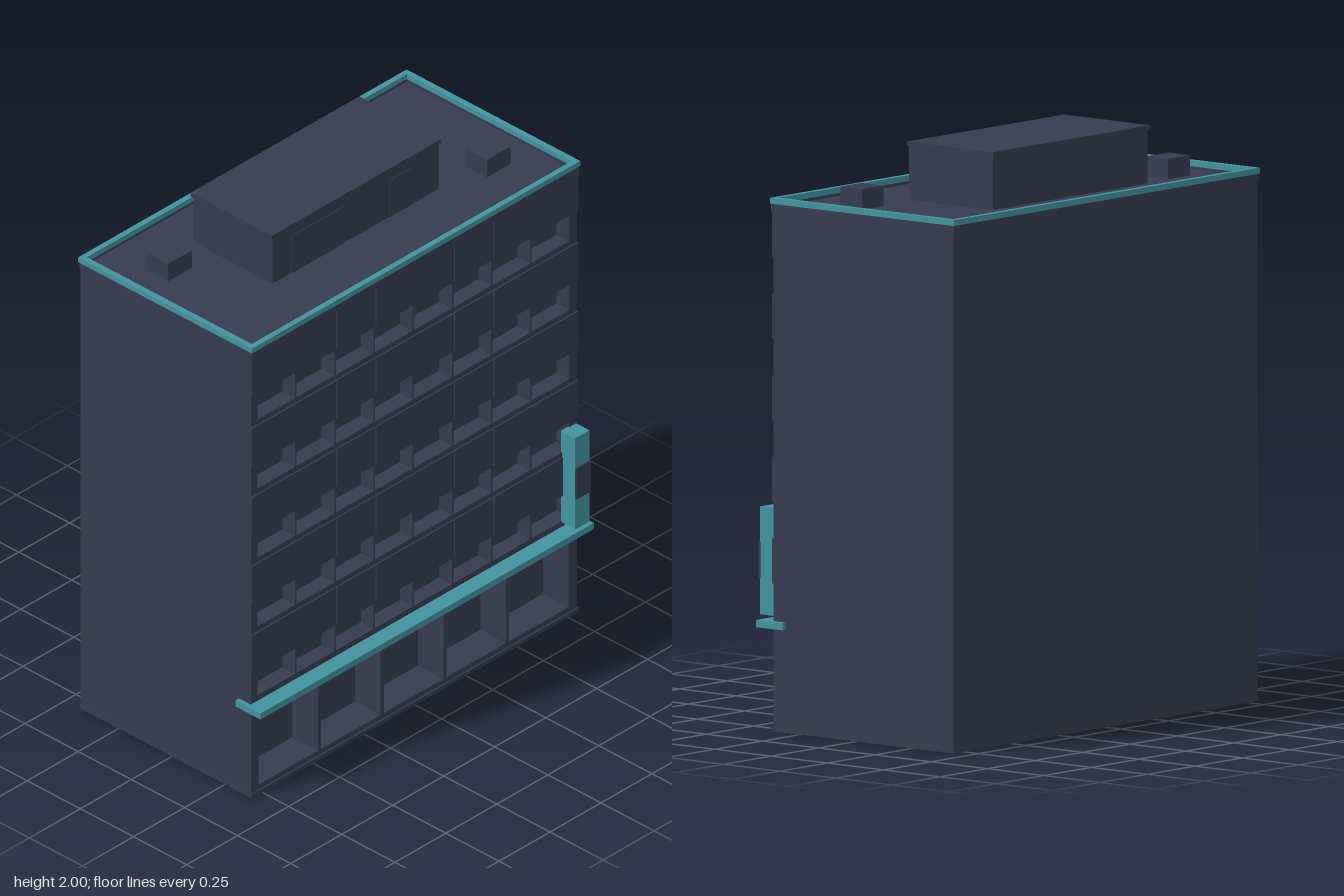
import * as THREE from 'three';

const slate = new THREE.MeshStandardMaterial({ color: 0x363b4f });
slate.name = 'slate';
const teal = new THREE.MeshStandardMaterial({ color: 0x43949e });
teal.name = 'teal';

export function createModel() {
  const model = new THREE.Group();
  model.name = 'officeBlock';

  const add = (name, geometry, material) => {
    const mesh = new THREE.Mesh(geometry, material);
    mesh.name = name;
    model.add(mesh);
    return mesh;
  };
  // Box given by its limits on each axis
  const box = (name, material, x0, x1, y0, y1, z0, z1) =>
    add(name, new THREE.BoxGeometry(x1 - x0, y1 - y0, z1 - z0), material)
      .position.set((x0 + x1) / 2, (y0 + y1) / 2, (z0 + z1) / 2);
  const trace = (path, x0, x1, y0, y1) => {
    path.moveTo(x0, y0);
    path.lineTo(x1, y0);
    path.lineTo(x1, y1);
    path.lineTo(x0, y1);
    path.closePath();
    return path;
  };
  // Rectangular plate with rectangular openings
  const pierced = (outer, holes, depth) => {
    const shape = trace(new THREE.Shape(), ...outer);
    holes.forEach(h => shape.holes.push(trace(new THREE.Path(), ...h)));
    return new THREE.ExtrudeGeometry(shape, { depth, bevelEnabled: false });
  };

  // Solid core behind the facade
  box('groundFloorCore', slate, -0.8, 0.8, 0, 0.365, -0.43, 0.25);
  box('upperCore', slate, -0.8, 0.8, 0.365, 1.8, -0.43, 0.31);

  // Ground floor with five deep shopfront bays
  const bays = [];
  for (let i = 0; i < 5; i++) {
    const x = -0.762 + i * 0.307;
    bays.push([x, x + 0.292, 0.035, 0.33]);
  }
  add('shopfront', pierced([-0.8, 0.8, 0, 0.365], bays, 0.12), slate).position.z = 0.25;

  // Five rows of eight recessed windows
  const windows = [];
  const rows = [0.4, 0.68, 0.96, 1.24, 1.52];
  for (const y of rows) {
    for (let i = 0; i < 8; i++) {
      const x = -0.767 + i * 0.192;
      windows.push([x, x + 0.185, y, y + 0.105]);
    }
  }
  add('windowFacade', pierced([-0.8, 0.8, 0.365, 1.8], windows, 0.06), slate).position.z = 0.31;

  // Spandrel panels above each row, separated by narrow joints
  const joints = [-0.803, -0.385, -0.192, 0.192, 0.385, 0.803];
  for (const y of rows) {
    for (let i = 0; i < 5; i++) {
      box('spandrelPanel', slate, joints[i] + 0.003, joints[i + 1] - 0.003, y + 0.107, y + 0.26, 0.365, 0.376);
    }
  }

  // Plinth, cornice and coloured parapet cap
  box('plinth', slate, -0.802, 0.802, 0, 0.015, -0.433, 0.376);
  const ring = (name, material, x, z0, z1, width, y0, y1) => {
    const g = pierced([-x, x, -z1, -z0], [[-x + width, x - width, -z1 + width, -z0 - width]], y1 - y0);
    g.rotateX(-Math.PI / 2);
    add(name, g, material).position.y = y0;
  };
  ring('cornice', slate, 0.802, -0.435, 0.378, 0.018, 1.782, 1.81);
  ring('parapetCap', teal, 0.805, -0.437, 0.38, 0.021, 1.81, 1.83);

  // Canopy over the shopfront
  box('canopy', teal, -0.817, 0.817, 0.353, 0.378, 0.315, 0.432);

  // Projecting corner sign with a dark centre plate
  box('sign', teal, 0.725, 0.795, 0.395, 0.765, 0.365, 0.433);
  box('signPlate', slate, 0.724, 0.796, 0.52, 0.645, 0.432, 0.44);

  // Rooftop plant room with a thin roof slab and front panels
  box('plantRoom', slate, -0.433, 0.381, 1.8, 1.987, -0.252, 0.12);
  box('plantRoomRoof', slate, -0.44, 0.387, 1.985, 2, -0.259, 0.125);
  box('plantRoomPanel', slate, -0.34, -0.085, 1.8, 1.95, 0.119, 0.123);
  box('plantRoomDoor', slate, 0.14, 0.255, 1.8, 1.95, 0.119, 0.123);

  // Roof vents
  box('leftVent', slate, 0.545, 0.66, 1.8, 1.87, 0.095, 0.19);
  box('rightVent', slate, -0.667, -0.551, 1.8, 1.87, -0.243, -0.146);

  return model;
}
